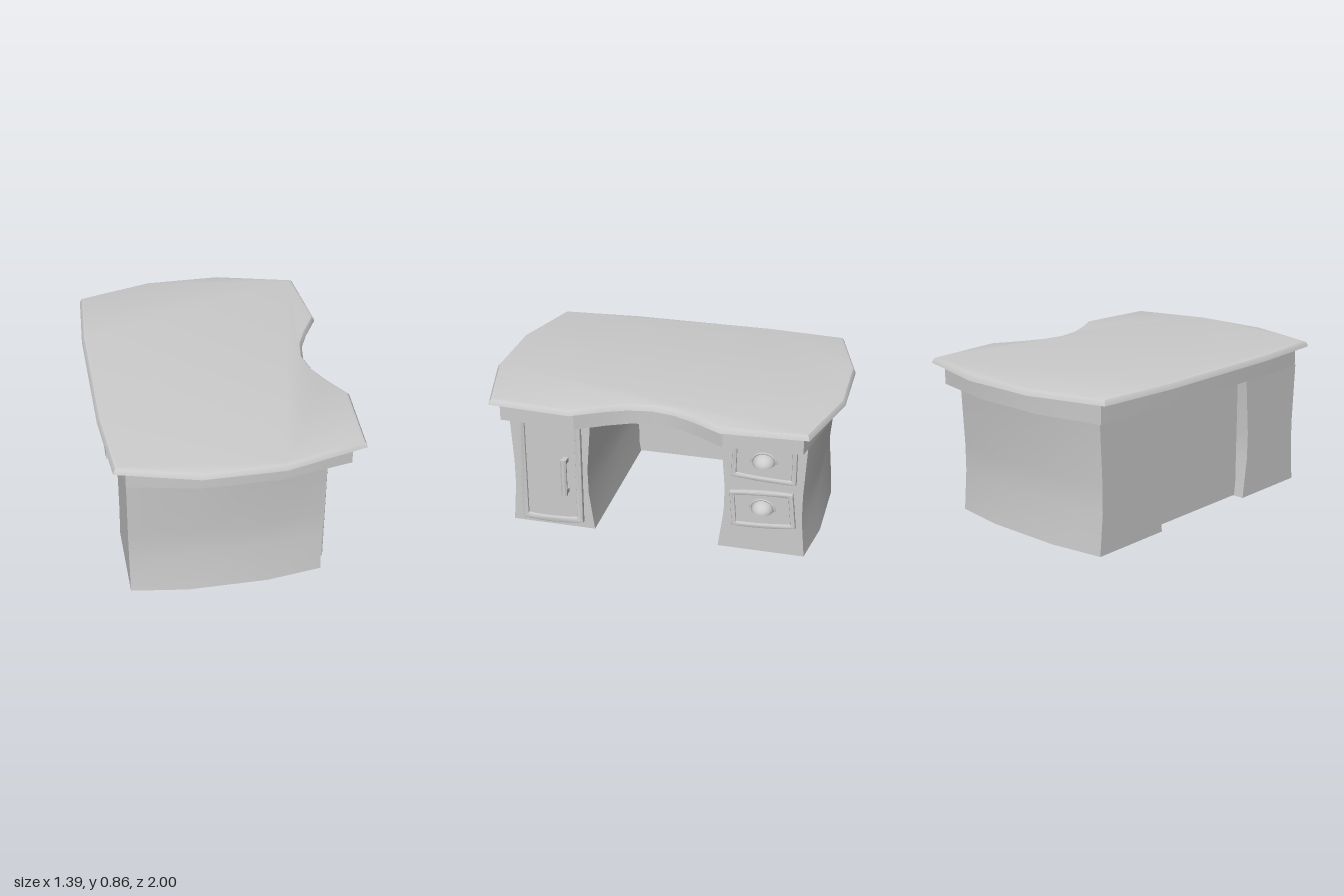
import * as THREE from 'three';
import { toCreasedNormals } from 'three/addons/utils/BufferGeometryUtils.js';

const V2 = (x, y) => new THREE.Vector2(x, y);
const grey = new THREE.MeshStandardMaterial({ color: 0xcccccc });
const greyOpen = new THREE.MeshStandardMaterial({ color: 0xcccccc, side: THREE.DoubleSide });

function part(name, geometry, material = grey) {
  const mesh = new THREE.Mesh(geometry, material);
  mesh.name = name;
  return mesh;
}

// Plan outlines are counter-clockwise Vector2 lists holding (x, -z)
const ccw = (pts) => (THREE.ShapeUtils.area(pts) < 0 ? pts.slice().reverse() : pts);

// Half outline from the knee notch round to the back, mirrored across z = 0
function mirrored(half) {
  const a = half.map(([x, z]) => V2(x, z));
  const b = half.slice(1).reverse().map(([x, z]) => V2(x, -z));
  return ccw([...a, ...b]);
}

// Mitred inset of a counter-clockwise outline
function inset(pts, d) {
  const n = pts.length;
  return pts.map((p, i) => {
    const e0 = p.clone().sub(pts[(i + n - 1) % n]).normalize();
    const e1 = pts[(i + 1) % n].clone().sub(p).normalize();
    const n0 = V2(-e0.y, e0.x), n1 = V2(-e1.y, e1.x);
    return n0.clone().add(n1).multiplyScalar(d / (1 + n0.dot(n1))).add(p);
  });
}

// Stack of plan outlines joined into walls, with optional caps
function loft(rings, capBottom, capTop, crease = 0.6) {
  const pos = [];
  const put = (ring, i) => {
    const p = ring.pts[i % ring.pts.length];
    pos.push(p.x, ring.y, -p.y);
  };
  for (let r = 0; r + 1 < rings.length; r++) {
    const lo = rings[r], hi = rings[r + 1];
    for (let i = 0; i < lo.pts.length; i++) {
      put(lo, i); put(lo, i + 1); put(hi, i + 1);
      put(lo, i); put(hi, i + 1); put(hi, i);
    }
  }
  const cap = (ring, flip) => {
    for (const [a, b, c] of THREE.ShapeUtils.triangulateShape(ring.pts, [])) {
      (flip ? [c, b, a] : [a, b, c]).forEach((i) => put(ring, i));
    }
  };
  if (capBottom) cap(rings[0], true);
  if (capTop) cap(rings[rings.length - 1], false);
  const geo = new THREE.BufferGeometry();
  geo.setAttribute('position', new THREE.Float32BufferAttribute(pos, 3));
  return toCreasedNormals(geo, crease);
}

// Quad with top and bottom edges bowed outwards; corners are [z, y]
function bowedOutline(corners, bow) {
  const pts = [];
  corners.forEach(([z, y], i) => {
    const [z2, y2] = corners[(i + 1) % 4];
    const dir = i === 0 ? -1 : i === 2 ? 1 : 0;
    const steps = dir ? 8 : 1;
    for (let k = 0; k < steps; k++) {
      const t = k / steps;
      pts.push(V2(-(z + (z2 - z) * t), y + (y2 - y) * t + dir * bow * 4 * t * (1 - t)));
    }
  });
  return ccw(pts);
}

// Raised frame with a sunken panel, mounted on the +x face
const FACE = 0.46;
function framedFront(name, corners, bow, border) {
  const group = new THREE.Group();
  group.name = name;
  const outer = bowedOutline(corners, bow);
  const inner = inset(outer, border);
  const shape = new THREE.Shape(outer);
  shape.holes.push(new THREE.Path(inner.slice().reverse()));
  const bevel = 0.007;
  const frame = new THREE.ExtrudeGeometry(shape, {
    depth: 0.018, bevelEnabled: true, bevelSize: bevel, bevelThickness: bevel, bevelOffset: -bevel, bevelSegments: 2,
  });
  const panel = new THREE.ExtrudeGeometry(new THREE.Shape(inset(outer, border * 0.6)), { depth: 0.012, bevelEnabled: false });
  for (const g of [frame, panel]) g.rotateY(Math.PI / 2).translate(FACE, 0, 0);
  group.add(part(name + 'Frame', toCreasedNormals(frame, 0.5)), part(name + 'Panel', panel));
  return group;
}

// Half-dome cup pull, open below
function cupPull(y, z, tilt) {
  const group = new THREE.Group();
  group.name = 'cupPull';
  const dome = new THREE.SphereGeometry(1, 20, 8, Math.PI / 2, Math.PI, 0, Math.PI / 2);
  dome.scale(0.07, 0.056, 0.062);
  const rim = new THREE.TorusGeometry(1, 0.1, 6, 16, Math.PI);
  rim.rotateY(Math.PI / 2).scale(0.07, 0.06, 0.068);
  group.add(part('cup', dome, greyOpen), part('cupRim', rim));
  group.position.set(0.476, y, z);
  group.rotation.x = tilt;
  return group;
}

export function createModel() {
  const desk = new THREE.Group();
  desk.name = 'desk';

  // Table top with a rounded-over edge
  const topOutline = mirrored([[0.53, 0], [0.552, 0.13], [0.605, 0.25], [0.695, 0.41], [0.667, 0.875],
    [0.21, 0.998], [-0.23, 0.998], [-0.665, 0.875], [-0.698, 0.41]]);
  const edge = [[0.828, 0], [0.846, 0.007], [0.856, 0.015], [0.861, 0.032]];
  desk.add(part('tableTop', loft(edge.map(([y, d]) => ({ y, pts: inset(topOutline, d) })), true, true)));

  // Apron under the top
  const apron = mirrored([[0.45, 0], [0.47, 0.13], [0.53, 0.26], [0.62, 0.41], [0.6, 0.838],
    [0.2, 0.918], [-0.22, 0.918], [-0.6, 0.838], [-0.62, 0.41]]);
  desk.add(part('apron', loft([{ y: 0.71, pts: apron }, { y: 0.828, pts: apron }], true, false, 0.4)));

  // Waisted pedestals, open underneath: [y, inner z, corner z, bulge z]
  const levels = [[0, 0.36, 0.848, 0.893], [0.23, 0.391, 0.828, 0.867], [0.38, 0.394, 0.828, 0.867], [0.712, 0.367, 0.845, 0.895]];
  for (const s of [1, -1]) {
    const rings = levels.map(([y, inner, corner, bulge]) => ({
      y,
      pts: ccw([[FACE, inner], [FACE, corner], [0.15, bulge], [-0.29, bulge], [-0.6, corner], [-0.6, inner]]
        .map(([x, z]) => V2(x, -s * z))),
    }));
    desk.add(part(s > 0 ? 'leftPedestal' : 'rightPedestal', loft(rings, false, false), greyOpen));
  }

  // Modesty panel closing the knee space
  const modesty = part('modestyPanel', new THREE.BoxGeometry(0.012, 0.708, 0.74));
  modesty.position.set(-0.53, 0.358, 0);
  desk.add(modesty);

  // Cupboard door and its bar handle
  desk.add(framedFront('door', [[0.787, 0.033], [0.423, 0.042], [0.423, 0.678], [0.785, 0.68]], 0.013, 0.036));
  const handle = new THREE.Group();
  handle.name = 'doorHandle';
  const bar = new THREE.CylinderGeometry(0.016, 0.016, 0.225, 8);
  bar.rotateY(Math.PI / 8).scale(0.9, 1, 1.15).translate(0.518, 0.345, 0.515);
  handle.add(part('handleBar', toCreasedNormals(bar, 0.5)));
  for (const y of [0.25, 0.44]) {
    const post = part('handlePost', new THREE.BoxGeometry(0.06, 0.026, 0.03));
    post.position.set(0.49, y, 0.515);
    handle.add(post);
  }
  desk.add(handle);

  // Two slightly crooked drawers with cup pulls
  desk.add(framedFront('upperDrawer', [[-0.433, 0.468], [-0.79, 0.45], [-0.79, 0.672], [-0.438, 0.682]], 0.006, 0.026));
  desk.add(framedFront('lowerDrawer', [[-0.442, 0.158], [-0.797, 0.182], [-0.775, 0.393], [-0.425, 0.37]], 0.009, 0.026));
  desk.add(cupPull(0.565, -0.61, 0.02), cupPull(0.277, -0.61, -0.06));

  return desk;
}
